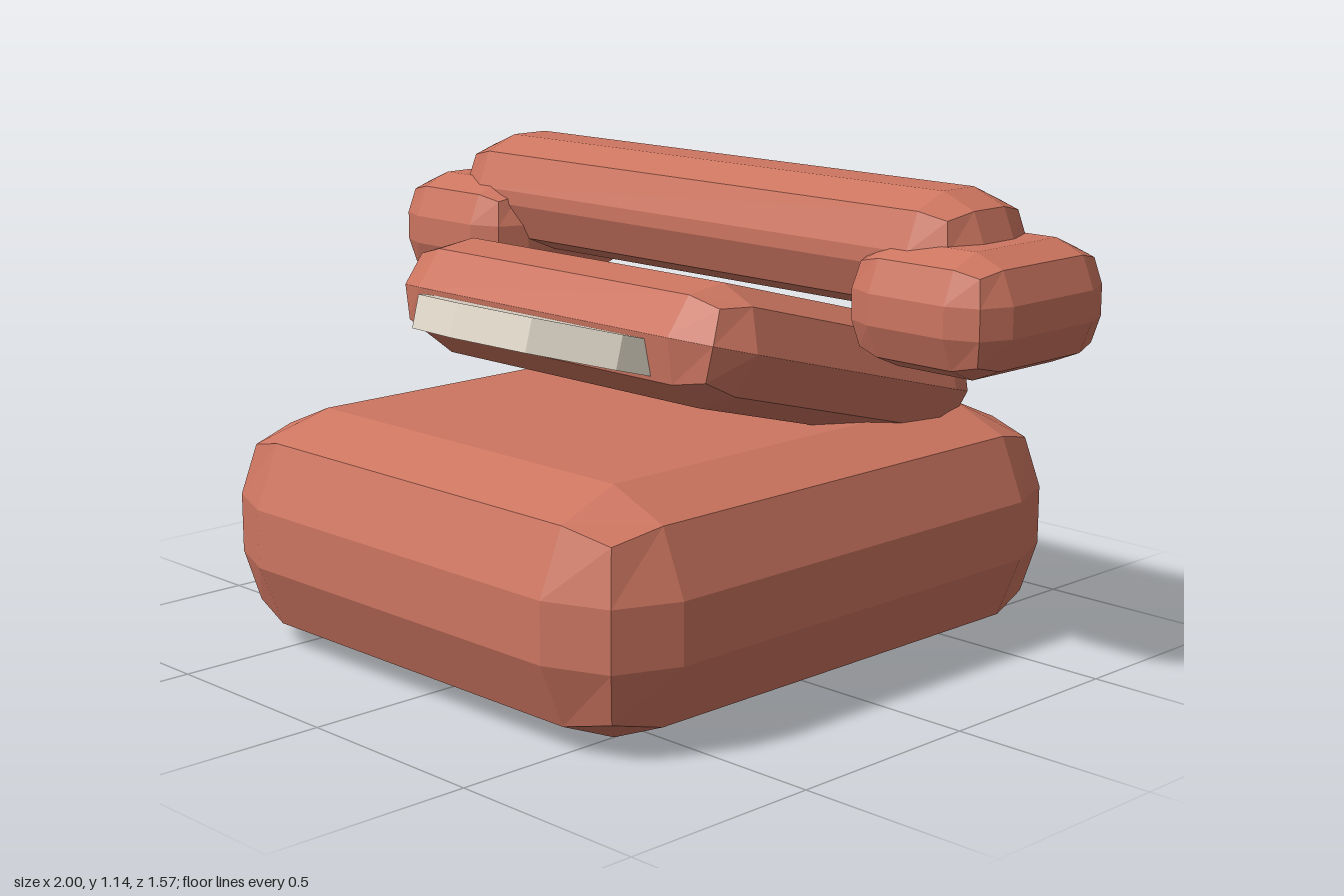
import * as THREE from 'three';
import { RoundedBoxGeometry } from 'three/addons/geometries/RoundedBoxGeometry.js';

export function createModel() {
  const model = new THREE.Group();
  model.name = 'telephone';

  const shell = new THREE.MeshStandardMaterial({ color: 0xcc7560, flatShading: true });
  const cream = new THREE.MeshStandardMaterial({ color: 0xe3dacb, flatShading: true });

  // chunky box with two facets around each edge
  const block = (name, [w, h, d], radius, [x, y, z], parent = model) => {
    const mesh = new THREE.Mesh(new RoundedBoxGeometry(w, h, d, 1, radius), shell);
    mesh.name = name;
    mesh.position.set(x, y, z);
    parent.add(mesh);
    return mesh;
  };

  // body
  block('base', [1.428, 0.571, 1.571], 0.214, [0, 0.286, 0]);

  // tilted panel with the dial disc sliding out of its front
  const face = new THREE.Group();
  face.name = 'dialAssembly';
  face.position.set(0, 0.717, -0.142);
  face.rotation.x = -Math.PI / 12;
  model.add(face);
  block('panel', [1.143, 0.286, 1.0], 0.1428, [0, 0, 0], face);

  const dial = new THREE.Mesh(new THREE.CylinderGeometry(0.393, 0.393, 0.08, 12), cream);
  dial.name = 'dial';
  dial.position.set(0, -0.052, 0.352);
  face.add(dial);

  // handset: grip bar and two end pieces
  const handset = new THREE.Group();
  handset.name = 'handset';
  handset.position.set(0, 1, -0.286);
  model.add(handset);
  block('grip', [1.7, 0.286, 0.357], 0.125, [0, 0, 0], handset);
  for (const side of [1, -1]) {
    block(side > 0 ? 'leftEndPiece' : 'rightEndPiece',
      [0.428, 0.286, 0.5], 0.107, [side * 0.786, -0.107, 0], handset);
  }

  return model;
}
